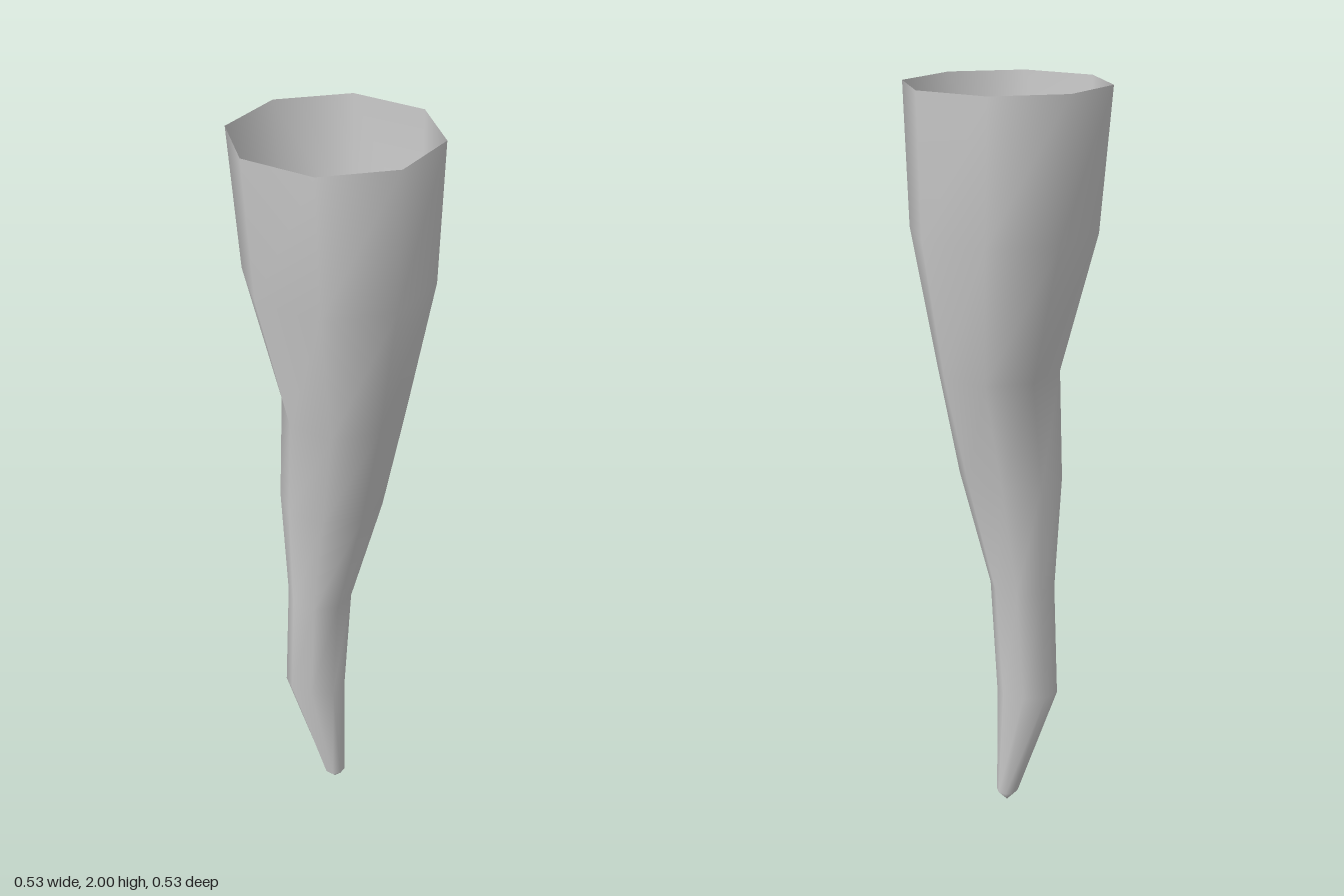
import * as THREE from 'three';

const SIDES = 8;

// Cross-sections from the open rim down: [y, left x, right x, half depth]
const RINGS = [
  [2.0, -0.267, 0.267, 0.267],
  [1.63, -0.236, 0.254, 0.254],
  [1.265, -0.14, 0.186, 0.188],
  [0.97, -0.148, 0.128, 0.126],
  [0.66, -0.13, 0.045, 0.0875],
  [0.345, -0.14, 0.027, 0.06],
  [0.03, -0.03, 0.028, 0.03],
];

function hornGeometry() {
  const positions = [];
  const index = [];
  for (const [y, x0, x1, depth] of RINGS) {
    for (let j = 0; j < SIDES; j++) {
      const a = (j / SIDES) * Math.PI * 2;
      positions.push((x0 + x1) / 2 + ((x1 - x0) / 2) * Math.cos(a), y, depth * Math.sin(a));
    }
  }
  // Blunt point at the bottom
  const tip = RINGS.length * SIDES;
  positions.push(0, 0, 0);

  for (let i = 0; i < RINGS.length; i++) {
    for (let j = 0; j < SIDES; j++) {
      const k = (j + 1) % SIDES;
      const t0 = i * SIDES + j, t1 = i * SIDES + k;
      if (i === RINGS.length - 1) {
        index.push(tip, t0, t1);
      } else {
        const b0 = t0 + SIDES, b1 = t1 + SIDES;
        index.push(b0, t0, b1, t0, t1, b1);
      }
    }
  }
  const geometry = new THREE.BufferGeometry();
  geometry.setAttribute('position', new THREE.Float32BufferAttribute(positions, 3));
  geometry.setIndex(index);
  geometry.computeVertexNormals();
  return geometry;
}

export function createModel() {
  const group = new THREE.Group();
  group.name = 'taperedHorn';
  // Thin open shell, visible inside and out
  const material = new THREE.MeshStandardMaterial({ color: 0xcccccc, side: THREE.DoubleSide });
  const shell = new THREE.Mesh(hornGeometry(), material);
  shell.name = 'hornShell';
  group.add(shell);
  return group;
}
